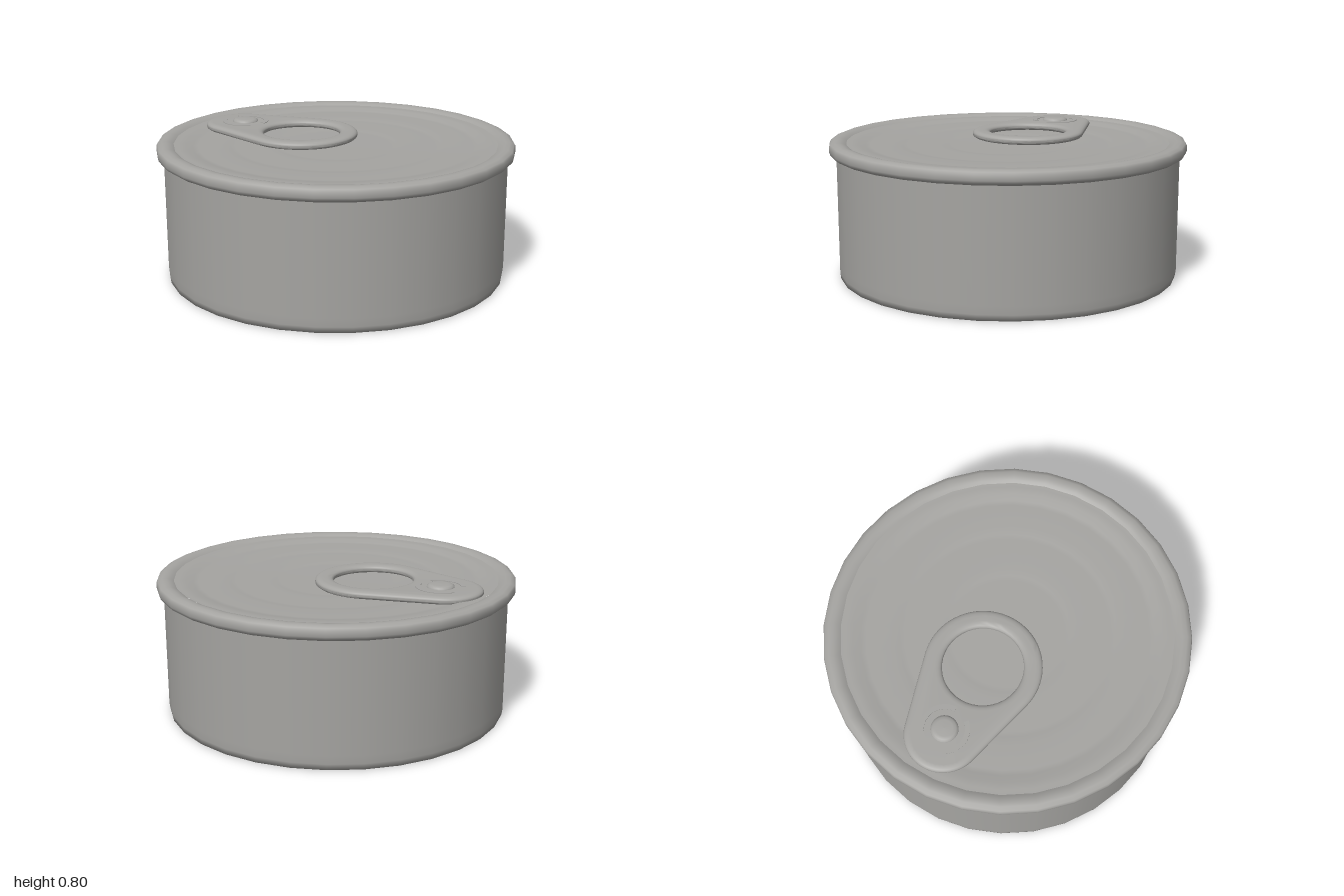
import * as THREE from 'three';
import { toCreasedNormals } from 'three/addons/utils/BufferGeometryUtils.js';

const SIDES = 32;

export function createModel() {
  const can = new THREE.Group();
  can.name = 'tinCan';
  const metal = new THREE.MeshStandardMaterial({ color: 0xa5a4a1 });
  metal.name = 'grey metal';

  const add = (name, geometry, parent = can) => {
    const mesh = new THREE.Mesh(geometry, metal);
    mesh.name = name;
    parent.add(mesh);
    return mesh;
  };
  const lathe = (points, sides = SIDES) =>
    new THREE.LatheGeometry(points.map(([r, y]) => new THREE.Vector2(r, y)), sides);

  // Wall and base, softly shaded around the bottom edge
  add('body', lathe([[0, 0], [0.8, 0], [0.957, 0.002], [0.962, 0.035], [0.962, 0.08], [0.962, 0.7]]));

  // Rolled seam around the top
  add('rim', toCreasedNormals(lathe([
    [0.95, 0.694], [0.978, 0.694], [0.995, 0.706], [1, 0.72], [1, 0.75],
    [0.993, 0.762], [0.97, 0.771], [0.945, 0.772], [0.92, 0.766], [0.9, 0.753],
  ]), 0.75));

  // Lid stepping down in shallow rings toward the centre
  add('lid', lathe([
    [0.905, 0.757], [0.88, 0.756], [0.84, 0.756], [0.8, 0.744], [0.77, 0.743],
    [0.64, 0.743], [0.59, 0.736], [0.56, 0.735], [0.39, 0.735], [0.34, 0.73],
    [0.31, 0.729], [0, 0.729],
  ]));

  // Pull tab: a flat drop around two circles, with a finger hole
  const tab = new THREE.Group();
  tab.name = 'pullTab';
  can.add(tab);
  const bevel = 0.035;
  const ring = { x: -0.23, y: 0.08, r: 0.32 };
  const nose = { x: -0.64, y: 0.19, r: 0.21 };
  const outline = new THREE.Shape();
  outline.absarc(ring.x, ring.y, ring.r - bevel, -Math.PI * 2 / 3, Math.PI / 2, false);
  outline.absarc(nose.x, nose.y, nose.r - bevel, Math.PI / 2, Math.PI * 4 / 3, false);
  const hole = new THREE.Path();
  hole.absarc(ring.x, ring.y, 0.22 + bevel, 0, Math.PI * 2, true);
  outline.holes.push(hole);
  const plate = new THREE.ExtrudeGeometry(outline, {
    depth: 0.008, bevelEnabled: true, bevelSize: bevel, bevelThickness: 0.018,
    bevelSegments: 4, curveSegments: 20,
  });
  plate.rotateX(-Math.PI / 2);
  add('tabPlate', toCreasedNormals(plate, 0.7), tab).position.y = 0.756;

  // Rivet with a rounded top
  const rivet = add('rivet', lathe([
    [0.075, 0], [0.073, 0.009], [0.062, 0.016], [0.045, 0.019], [0, 0.02],
  ], 24), tab);
  rivet.position.set(-0.62, 0.78, -0.19);

  // Two curved strips around the rivet
  for (const [start, end] of [[-0.25, 2.3], [3.3, 5.3]]) {
    const arc = new THREE.Shape();
    arc.absarc(0, 0, 0.135, start, end, false);
    arc.absarc(0, 0, 0.108, end, start, true);
    const strip = new THREE.ExtrudeGeometry(arc, { depth: 0.005, bevelEnabled: false, curveSegments: 16 });
    strip.rotateX(-Math.PI / 2);
    add('rivetStrip', toCreasedNormals(strip, 0.7), tab).position.set(-0.62, 0.78, -0.19);
  }

  return can;
}
